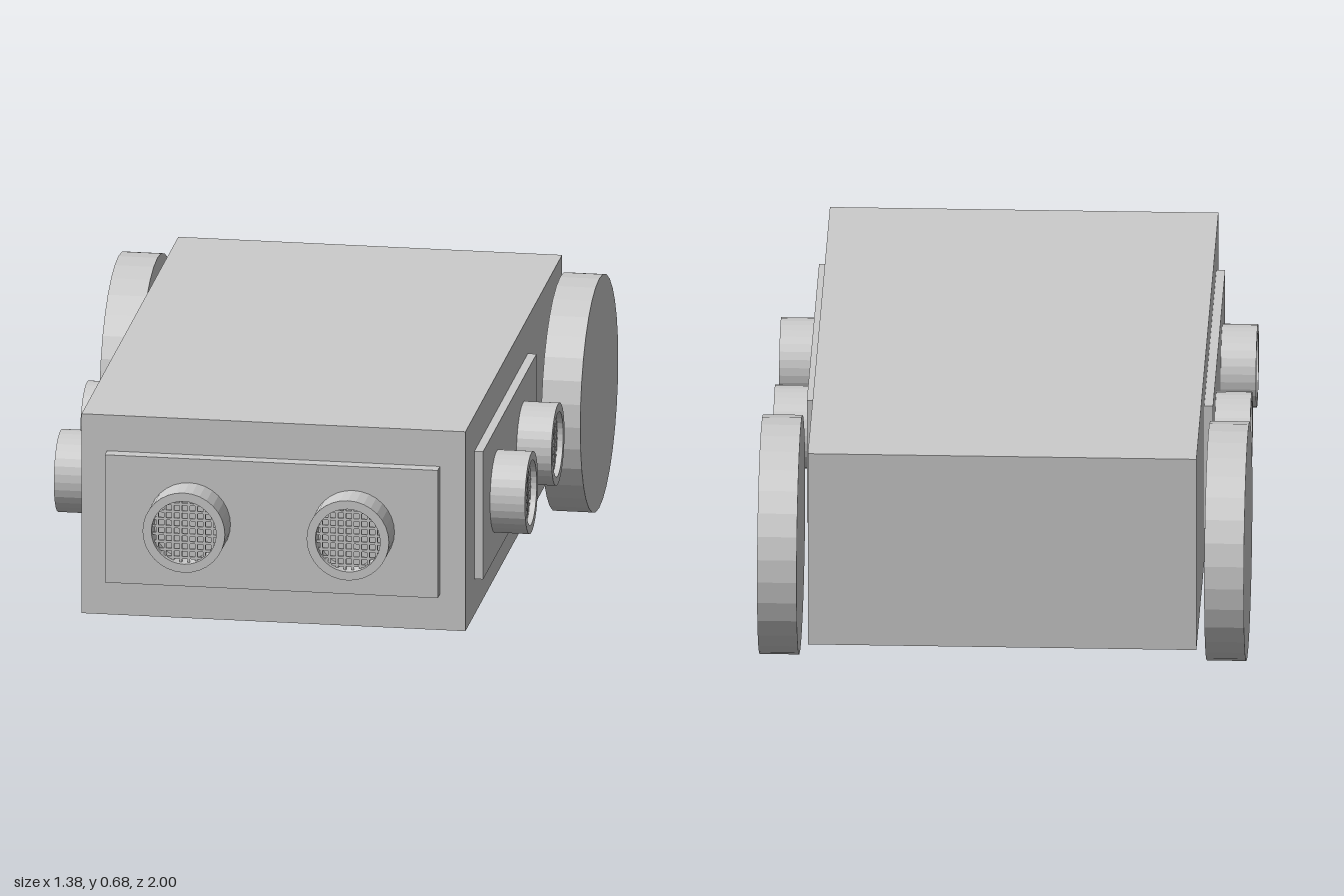
import * as THREE from 'three';

const material = new THREE.MeshStandardMaterial({ color: 0xcccccc, flatShading: true });

function add(parent, name, geometry, x = 0, y = 0, z = 0) {
  const mesh = new THREE.Mesh(geometry, material);
  mesh.name = name;
  mesh.position.set(x, y, z);
  parent.add(mesh);
  return mesh;
}

// Round socket with a recessed wire grille, opening toward +z, base at z = 0
function createSocket(name) {
  const socket = new THREE.Group();
  socket.name = name;
  const outer = 0.118, inner = 0.093, length = 0.1, floor = 0.045;
  const profile = [[outer, 0], [outer, length], [inner, length], [inner, floor], [0, floor]]
    .map(([r, h]) => new THREE.Vector2(r, h));
  add(socket, 'socketBarrel', new THREE.LatheGeometry(profile, 32)).rotation.x = Math.PI / 2;

  // Crossing bars, each trimmed to the round opening
  const pitch = 0.0225, bar = 0.007;
  for (let i = -3.5; i <= 3.5; i++) {
    const offset = i * pitch;
    const span = 2 * Math.sqrt(inner * inner - offset * offset);
    add(socket, 'grilleBarVertical', new THREE.BoxGeometry(bar, span, bar), offset, 0, 0.08);
    add(socket, 'grilleBarHorizontal', new THREE.BoxGeometry(span, bar, bar), 0, offset, 0.08);
  }
  return socket;
}

// Raised panel with two sockets, built facing +z
function createPanel(name, width, height, depth, socketXs) {
  const panel = new THREE.Group();
  panel.name = name;
  add(panel, name + 'Plate', new THREE.BoxGeometry(width, height, depth), 0, 0, depth / 2);
  for (const x of socketXs) {
    const socket = createSocket('socket');
    socket.position.set(x, 0, depth);
    panel.add(socket);
  }
  return panel;
}

export function createModel() {
  const model = new THREE.Group();
  model.name = 'wheeledBox';

  // Main body
  add(model, 'body', new THREE.BoxGeometry(1.1, 0.59, 1.725), 0, 0.386, -0.002);

  // Front panel
  const front = createPanel('frontPanel', 0.954, 0.378, 0.04, [-0.235, 0.235]);
  front.position.set(0, 0.386, 0.86);
  model.add(front);

  for (const side of [1, -1]) {
    const label = side > 0 ? 'left' : 'right';

    // Side panel, its sockets set toward z = 0.46 and z = -0.01
    const panel = createPanel(label + 'Panel', 0.953, 0.378, 0.027,
      [-side * 0.237, side * 0.235]);
    panel.rotation.y = side * Math.PI / 2;
    panel.position.set(side * 0.548, 0.386, 0.224);
    model.add(panel);

    // Large solid rear wheel
    const wheel = add(model, label + 'Wheel',
      new THREE.CylinderGeometry(0.339, 0.339, 0.112, 32), side * 0.633, 0.34, -0.661);
    wheel.rotation.z = Math.PI / 2;
  }
  return model;
}
